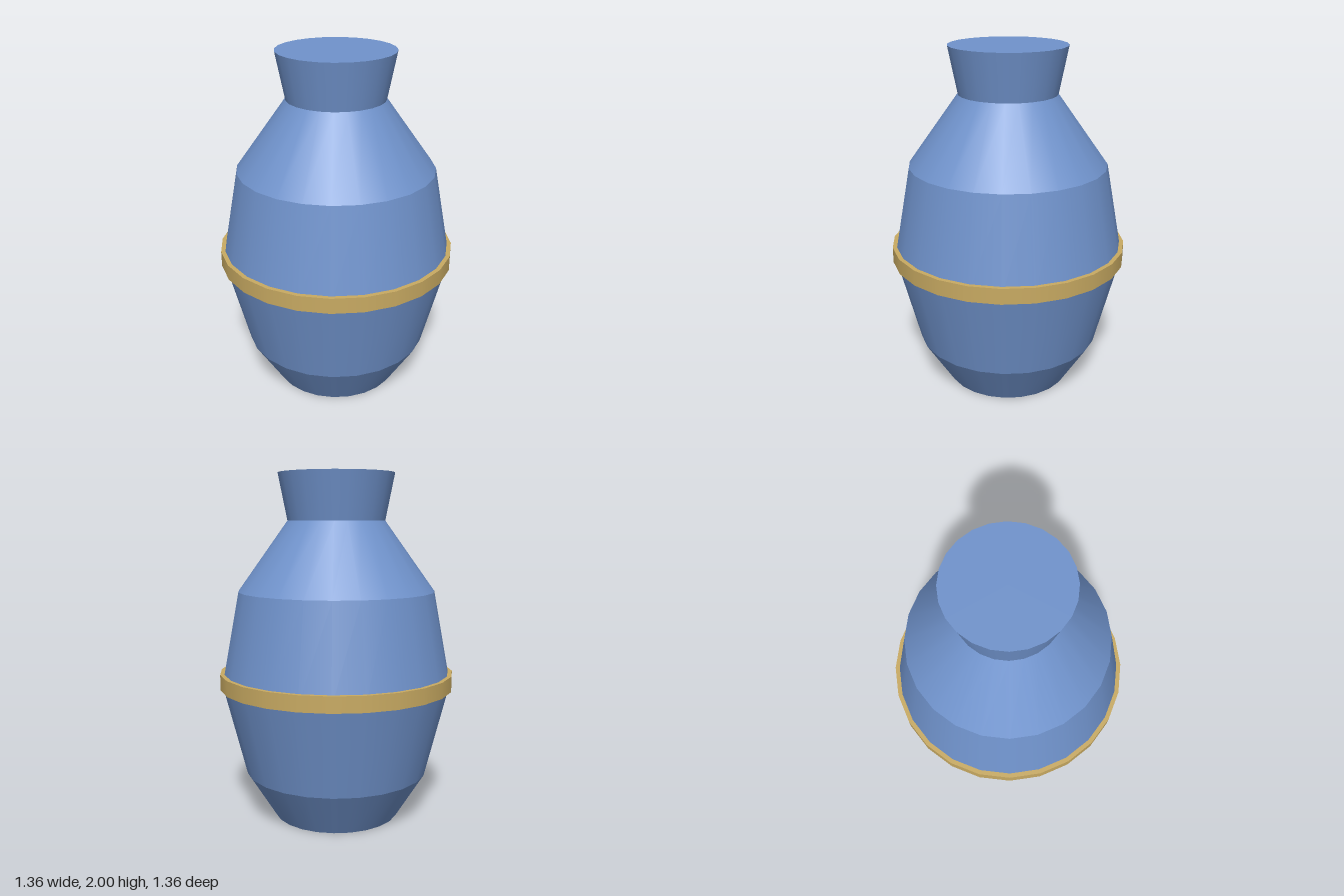
import * as THREE from 'three';

const SIDES = 24;

export function createModel() {
  const vase = new THREE.Group();
  vase.name = 'vase';
  const glaze = new THREE.MeshStandardMaterial({ color: 0x7093cc });
  glaze.name = 'blue glaze';
  const gold = new THREE.MeshStandardMaterial({ color: 0xc8aa62 });
  gold.name = 'gold';

  // Smooth round section between two heights
  function section(name, y0, r0, y1, r1, material, open = true) {
    const geometry = new THREE.CylinderGeometry(r1, r0, y1 - y0, SIDES, 1, open);
    const mesh = new THREE.Mesh(geometry, material);
    mesh.name = name;
    mesh.position.y = (y0 + y1) / 2;
    vase.add(mesh);
  }

  // Flat disc closing an end, facing up (1) or down (-1)
  function disc(name, y, r, facing) {
    const geometry = new THREE.CircleGeometry(r, SIDES);
    const mesh = new THREE.Mesh(geometry, glaze);
    mesh.name = name;
    mesh.rotation.x = -facing * Math.PI / 2;
    mesh.position.y = y;
    vase.add(mesh);
  }

  // Body from foot to rim: height and radius at each crease
  const profile = [
    [0, 0.367], [0.267, 0.533], [0.8, 0.667],
    [1.333, 0.567], [1.733, 0.28], [2, 0.333],
  ];
  const names = ['foot', 'lowerBody', 'upperBody', 'shoulder', 'neck'];
  names.forEach((name, i) => section(name, ...profile[i], ...profile[i + 1], glaze));
  disc('base', 0, 0.367, -1);
  disc('mouth', 2, 0.333, 1);

  // Raised band around the widest part
  section('band', 0.773, 0.68, 0.863, 0.68, gold, false);

  return vase;
}
